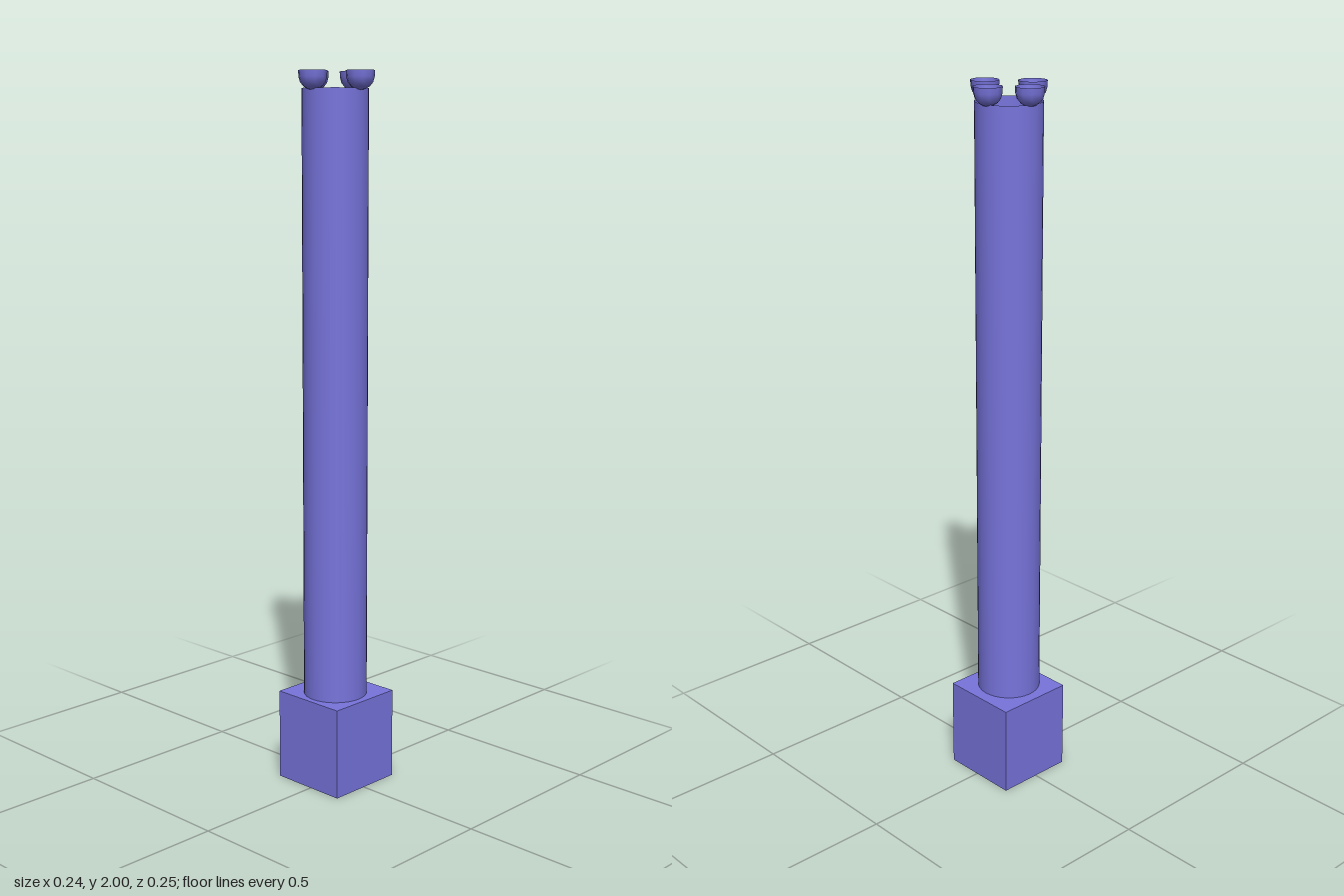
import * as THREE from 'three';

export function createModel() {
  const model = new THREE.Group();
  const violet = new THREE.MeshStandardMaterial({ color: 0x7774dc, side: THREE.DoubleSide });
  violet.name = 'violet';

  function add(name, geometry, x, y, z) {
    const mesh = new THREE.Mesh(geometry, violet);
    mesh.name = name;
    mesh.position.set(x, y, z);
    model.add(mesh);
  }

  // Square base, open underneath: drop the bottom face (the fourth of six)
  const base = new THREE.BoxGeometry(0.23, 0.26, 0.23);
  const faces = Array.from(base.index.array);
  faces.splice(18, 6);
  base.setIndex(faces);
  base.clearGroups();
  add('base', base, 0.005, 0.13, -0.01);

  // Hollow column, open at both ends
  const bottom = 0.26, top = 1.955;
  add('column', new THREE.CylinderGeometry(0.09, 0.09, top - bottom, 32, 1, true),
    -0.003, (bottom + top) / 2, -0.005);

  // Four open ten-sided cups around the column's rim
  const profile = [[0, 0], [0.013, 0.002], [0.025, 0.009], [0.034, 0.02], [0.038, 0.034], [0.039, 0.051]]
    .map(([r, y]) => new THREE.Vector2(r, y));
  const cup = new THREE.LatheGeometry(profile, 10);
  const cups = [
    ['frontCup', 0, 0.084],
    ['backCup', 0, -0.086],
    ['leftCup', 0.076, -0.011],
    ['rightCup', -0.085, -0.008],
  ];
  for (const [name, x, z] of cups) add(name, cup, x, 1.949, z);

  return model;
}
